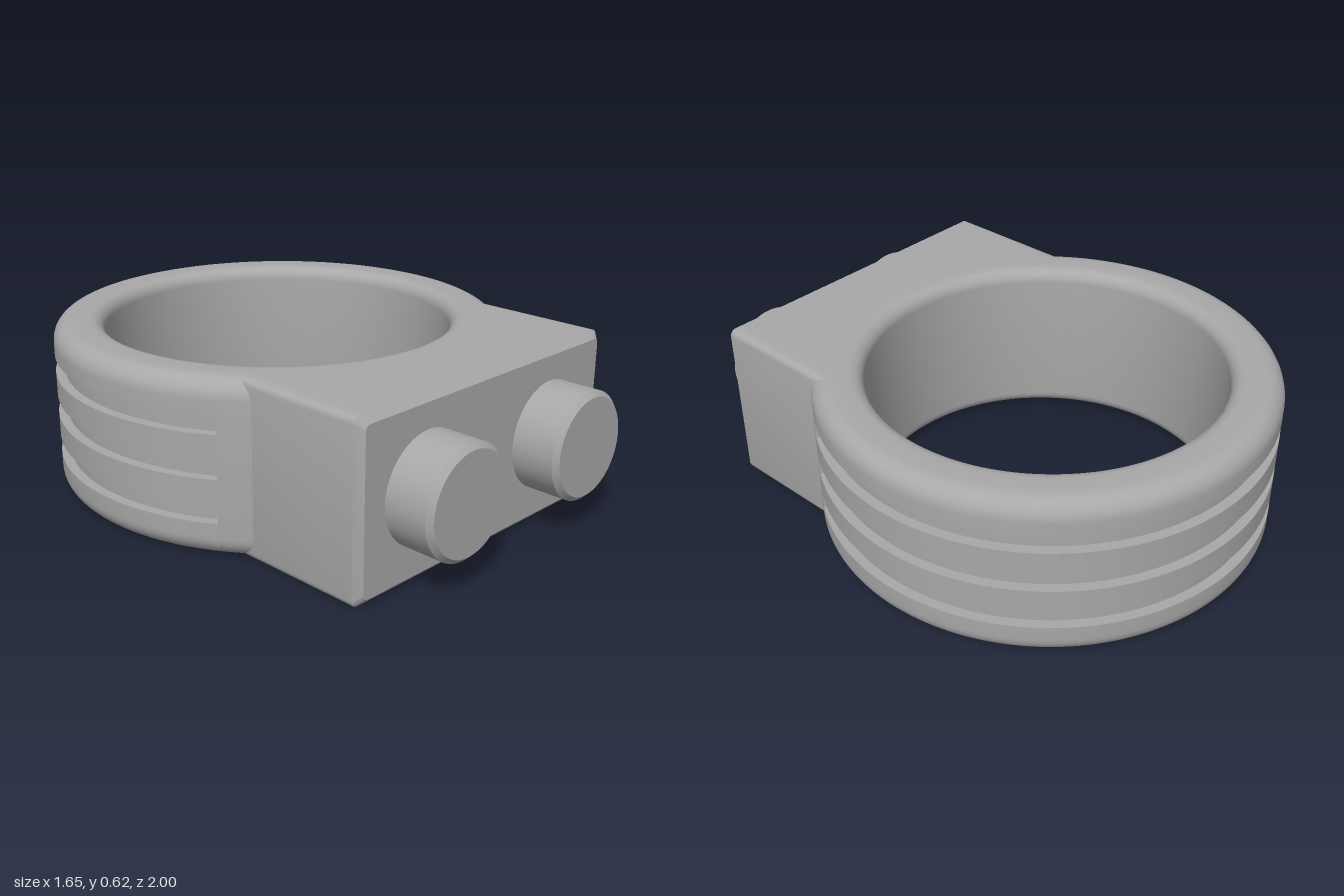
import * as THREE from 'three';
import { toCreasedNormals } from 'three/addons/utils/BufferGeometryUtils.js';

const H = 0.62, OUTER = 0.825, INNER = 0.64, FLOOR = 0.79, CZ = -0.175;
const ROUND = 0.07, EASE = 0.05, GROOVE_END = 1.0;
const GROOVES = [0.125, 0.28, 0.435], GROOVE_H = 0.065;

const metal = new THREE.MeshStandardMaterial({ color: 0xa8a8a8 });
metal.name = 'grey metal';

function addMesh(parent, name, geometry) {
  const mesh = new THREE.Mesh(geometry, metal);
  mesh.name = name;
  parent.add(mesh);
  return mesh;
}

// Quarter-round points about (cx, cy) from angle a, turning counter-clockwise
function corner(cx, cy, r, a, n = 8) {
  return Array.from({ length: n + 1 }, (_, i) => {
    const t = a + (i / n) * Math.PI / 2;
    return new THREE.Vector2(cx + r * Math.cos(t), cy + r * Math.sin(t));
  });
}

// Closed band section, with or without the outer grooves
function bandProfile(grooved) {
  const p = corner(OUTER - ROUND, ROUND, ROUND, -Math.PI / 2);
  if (grooved) for (const y of GROOVES) {
    p.push(new THREE.Vector2(OUTER, y), new THREE.Vector2(FLOOR, y),
      new THREE.Vector2(FLOOR, y + GROOVE_H), new THREE.Vector2(OUTER, y + GROOVE_H));
  }
  p.push(...corner(OUTER - ROUND, H - ROUND, ROUND, 0));
  p.push(...corner(INNER + EASE, H - EASE, EASE, Math.PI / 2));
  p.push(...corner(INNER + EASE, EASE, EASE, Math.PI));
  p.push(p[0].clone());
  return p;
}

// Rounded rectangle, subdivided along top and bottom so its back can curve
function blockOutline(hw, y0, y1, r) {
  const n = 32, w = hw - r, pts = [];
  pts.push(...corner(w, y0 + r, r, -Math.PI / 2, 4), ...corner(w, y1 - r, r, 0, 4));
  for (let i = 1; i < n; i++) pts.push(new THREE.Vector2(w - 2 * w * i / n, y1));
  pts.push(...corner(-w, y1 - r, r, Math.PI / 2, 4), ...corner(-w, y0 + r, r, Math.PI, 4));
  for (let i = 1; i < n; i++) pts.push(new THREE.Vector2(-w + 2 * w * i / n, y0));
  return pts;
}

// Block walls: curved back edge, straight sides, chamfered front edge
function blockWalls(full, inset) {
  const backR = OUTER - ROUND;
  const loops = [
    full.map(p => [p.x, p.y, CZ + Math.sqrt(backR * backR - p.x * p.x)]),
    full.map(p => [p.x, p.y, 0.8]),
    inset.map(p => [p.x, p.y, 0.825]),
  ];
  const n = full.length, index = [];
  for (let k = 0; k < 2; k++) for (let i = 0; i < n; i++) {
    const a = k * n + i, b = k * n + (i + 1) % n;
    index.push(a, b, b + n, a, b + n, a + n);
  }
  const g = new THREE.BufferGeometry();
  g.setAttribute('position', new THREE.Float32BufferAttribute(loops.flat(2), 3));
  g.setIndex(index);
  return toCreasedNormals(g, 0.5);
}

export function createModel() {
  const model = new THREE.Group();
  model.name = 'signetRing';

  // Band
  const band = new THREE.Group();
  band.name = 'band';
  band.position.z = CZ;
  model.add(band);
  addMesh(band, 'groovedBand', toCreasedNormals(
    new THREE.LatheGeometry(bandProfile(true), 128, GROOVE_END, 2 * Math.PI - 2 * GROOVE_END), 0.5));
  addMesh(band, 'frontBand', toCreasedNormals(
    new THREE.LatheGeometry(bandProfile(false), 60, -GROOVE_END, 2 * GROOVE_END), 0.5));

  // End walls closing each groove, facing back into it
  for (const side of [-1, 1]) for (const y of GROOVES) {
    const wall = addMesh(band, 'grooveEnd', new THREE.PlaneGeometry(OUTER - FLOOR, GROOVE_H));
    const r = (OUTER + FLOOR) / 2, a = side * GROOVE_END;
    wall.position.set(r * Math.sin(a), y + GROOVE_H / 2, r * Math.cos(a));
    wall.rotation.y = a + side * Math.PI / 2;
  }

  // Front block
  const full = blockOutline(0.625, 0, H, 0.025);
  const inset = blockOutline(0.6, 0.025, H - 0.025, 0.02);
  addMesh(model, 'blockWalls', blockWalls(full, inset));
  addMesh(model, 'blockFace', new THREE.ShapeGeometry(new THREE.Shape(inset))).position.z = 0.825;

  // Two round studs with chamfered rims
  const studProfile = [[0.193, 0.8], [0.193, 0.982], [0.175, 1], [0, 1]]
    .map(([r, h]) => new THREE.Vector2(r, h));
  for (const side of [-1, 1]) {
    const stud = addMesh(model, side > 0 ? 'leftStud' : 'rightStud',
      toCreasedNormals(new THREE.LatheGeometry(studProfile, 64), 0.5));
    stud.rotation.x = Math.PI / 2;
    stud.position.set(side * 0.318, 0.313, 0);
  }
  return model;
}
